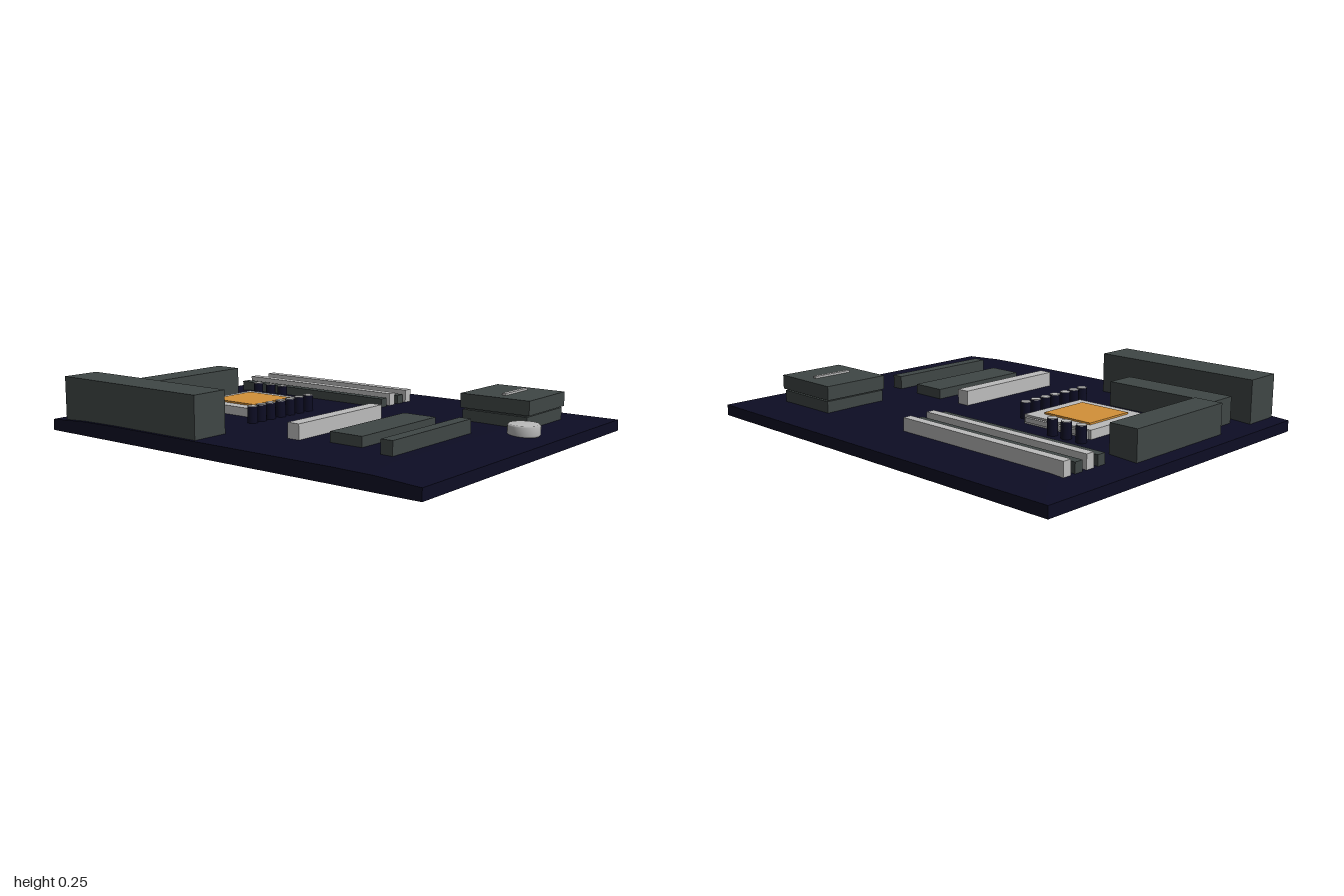
import * as THREE from 'three';

const mat = (name, color) => {
  const m = new THREE.MeshStandardMaterial({ color });
  m.name = name;
  return m;
};

export function createModel() {
  const navy = mat('navy', 0x0d0d24);
  const slate = mat('slate', 0x3f4645);
  const silver = mat('silver', 0xbcbcbc);
  const copper = mat('copper', 0xd29038);
  const group = new THREE.Group();
  group.name = 'circuitBoard';
  const base = 0.05; // parts are seated slightly into the board

  const add = (name, geometry, material, x, y, z) => {
    const mesh = new THREE.Mesh(geometry, material);
    mesh.name = name;
    mesh.position.set(x, y, z);
    group.add(mesh);
    return mesh;
  };
  // Box given by its extents along each axis
  const block = (name, material, x0, x1, z0, z1, top, bottom = base) =>
    add(name, new THREE.BoxGeometry(x1 - x0, top - bottom, z1 - z0), material,
      (x0 + x1) / 2, (top + bottom) / 2, (z0 + z1) / 2);

  // Board: a slab whose top falls gently towards its edges
  const slab = new THREE.BoxGeometry(1.57, 0.06, 2, 8, 1, 10);
  const pos = slab.attributes.position;
  for (let i = 0; i < pos.count; i++) {
    if (pos.getY(i) < 0) continue;
    const x = pos.getX(i), z = pos.getZ(i);
    const drop = 0.015 * Math.max(0, (x - 0.55) / 0.235, (Math.abs(z) - 0.75) / 0.25);
    pos.setY(i, 0.035 - drop);
  }
  slab.computeVertexNormals();
  add('board', slab, navy, 0, 0.03, 0);

  // Rear ports and heat sinks
  block('portBlock', slate, -0.77, -0.595, -0.925, -0.11, 0.25);
  block('sideHeatSink', slate, -0.54, -0.4, -0.86, -0.31, 0.177);
  block('rearHeatSink', slate, -0.37, 0.2, -0.925, -0.79, 0.19);

  // Processor socket, chip and lever
  block('socket', silver, -0.265, 0.1, -0.615, -0.245, 0.105);
  block('processor', copper, -0.21, 0.04, -0.56, -0.305, 0.113, 0.1);
  block('socketLever', silver, 0.11, 0.125, -0.6, -0.27, 0.1, 0.08);
  block('leverFoot', silver, 0.09, 0.125, -0.6, -0.58, 0.1);

  // Capacitors: navy cans with bright caps
  const can = new THREE.CylinderGeometry(0.023, 0.023, 0.087, 16);
  const cap = new THREE.CylinderGeometry(0.022, 0.022, 0.004, 16);
  const spots = [-0.61, -0.53, -0.455].map((z) => [0.155, z]);
  for (const x of [-0.345, -0.288, -0.228, -0.16, -0.097, -0.034, 0.03]) spots.push([x, -0.187]);
  for (const [x, z] of spots) {
    add('capacitorCan', can, navy, x, 0.0935, z);
    add('capacitorCap', cap, silver, x, 0.138, z);
  }

  // Memory slots, alternating dark and bright
  for (let i = 0; i < 4; i++) {
    const x = 0.305 + i * 0.065;
    const bright = i % 2 === 1;
    block('memorySlot', bright ? silver : slate, x, x + 0.042, -0.855, 0.033, bright ? 0.122 : 0.105);
  }

  // Expansion slots
  block('upperExpansionSlot', silver, -0.505, 0.058, 0.152, 0.213, 0.132);
  block('middleExpansionSlot', slate, -0.458, 0.06, 0.335, 0.497, 0.11);
  block('lowerExpansionSlot', slate, -0.507, 0.052, 0.622, 0.678, 0.125);

  // Chipset cooler in two tiers with a bright strip
  block('coolerBase', slate, 0.27, 0.583, 0.5, 0.82, 0.115);
  block('coolerNeck', slate, 0.285, 0.57, 0.51, 0.81, 0.127, 0.11);
  block('coolerTop', slate, 0.267, 0.587, 0.49, 0.83, 0.186, 0.122);
  block('coolerStrip', silver, 0.333, 0.525, 0.66, 0.68, 0.195, 0.186);

  // Coin battery with a slightly rounded rim
  const profile = [[0, 0], [0.06, 0], [0.065, 0.008], [0.065, 0.043], [0.06, 0.05], [0, 0.05]];
  const coin = new THREE.LatheGeometry(profile.map(([r, y]) => new THREE.Vector2(r, y)), 28);
  add('battery', coin, silver, 0.19, 0.055, 0.85).scale.z = 1.1;

  return group;
}
